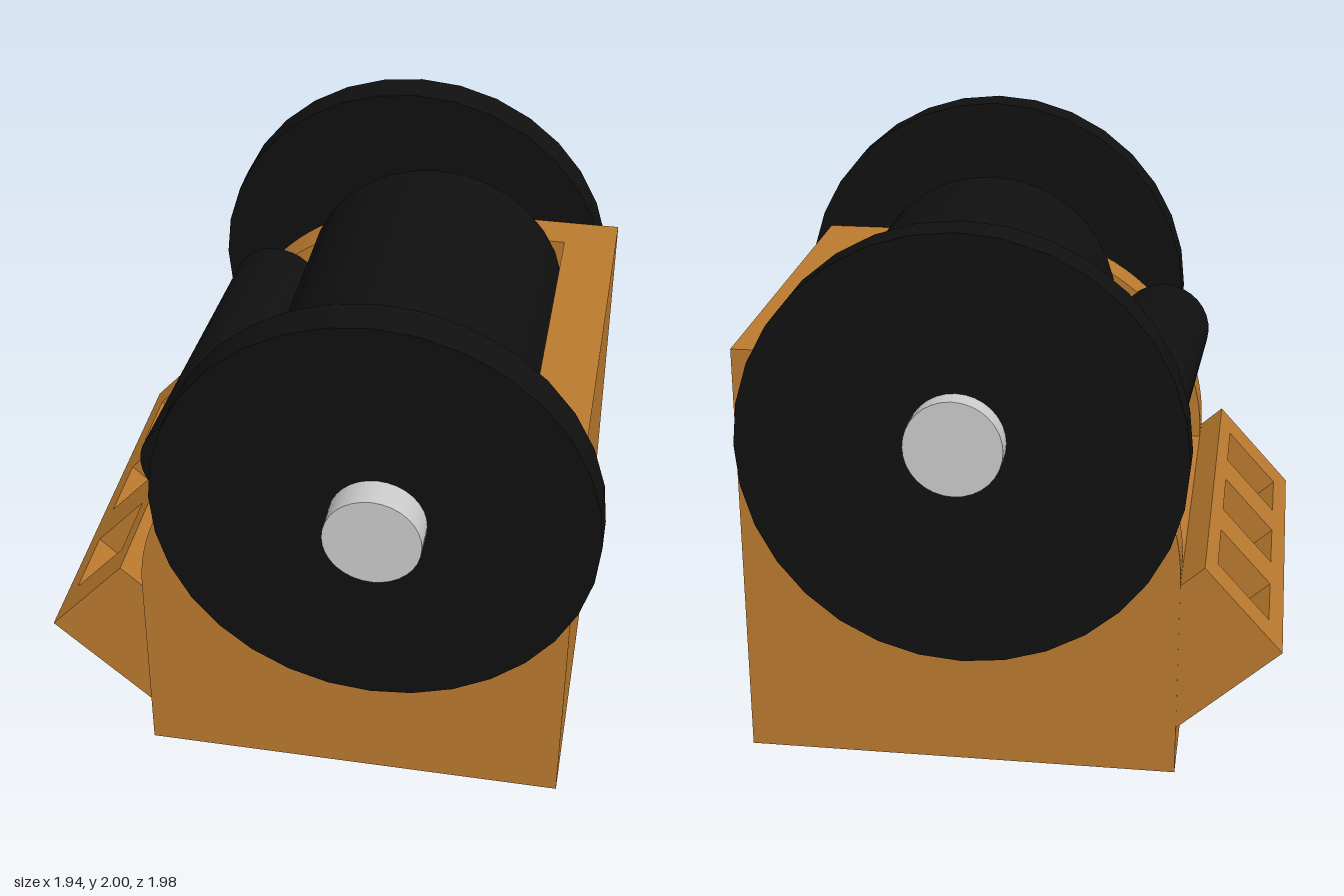
import * as THREE from 'three';

export function createModel() {
  const group = new THREE.Group();
  const paint = new THREE.MeshStandardMaterial({ color: 0xbb7a2f });
  const black = new THREE.MeshStandardMaterial({ color: 0x101010 });
  const grey = new THREE.MeshStandardMaterial({ color: 0xcccccc });

  const add = (name, geometry, material, parent = group) => {
    const mesh = new THREE.Mesh(geometry, material);
    mesh.name = name;
    parent.add(mesh);
    return mesh;
  };
  // Box given by its two extreme corners
  const box = (name, a, b, material, parent) => {
    const size = b.map((v, i) => v - a[i]);
    const mesh = add(name, new THREE.BoxGeometry(...size), material, parent);
    mesh.position.set(...a.map((v, i) => v + size[i] / 2));
    return mesh;
  };
  // Cylinder between two end points
  const rod = (name, a, b, radius, material) => {
    const start = new THREE.Vector3(...a), end = new THREE.Vector3(...b);
    const dir = end.clone().sub(start);
    const mesh = add(name, new THREE.CylinderGeometry(radius, radius, dir.length(), 32), material);
    mesh.position.copy(start).add(end).multiplyScalar(0.5);
    mesh.quaternion.setFromUnitVectors(new THREE.Vector3(0, 1, 0), dir.normalize());
    return mesh;
  };

  // Housing: solid base, rear wall and two side walls with one rounded corner
  const left = -0.62, right = 0.88, top = 1.49, floor = 0.72, back = -0.76, front = 0.73;
  box('base', [left, 0, back], [right, floor, front], paint);
  box('endWall', [0.69, floor, back + 0.15], [right, top, front - 0.15], paint);
  const profile = new THREE.Shape();
  profile.moveTo(left, floor);
  profile.lineTo(right, floor);
  profile.lineTo(right, top);
  profile.lineTo(left + 0.75, top);
  profile.absarc(left + 0.75, top - 0.75, 0.75, Math.PI / 2, Math.PI, false);
  profile.closePath();
  for (const z of [back, front - 0.15]) {
    const geometry = new THREE.ExtrudeGeometry(profile, { depth: 0.15, bevelEnabled: false, curveSegments: 16 });
    add('sideWall', geometry, paint).position.z = z;
  }

  // Slanted console: local x runs along z, local y up the slope, local z outward
  const console_ = new THREE.Group();
  console_.name = 'console';
  const up = new THREE.Vector3(0.27, 0.3, 0).normalize();
  const out = new THREE.Vector3(-up.y, up.x, 0);
  console_.quaternion.setFromRotationMatrix(
    new THREE.Matrix4().makeBasis(new THREE.Vector3(0, 0, 1), up, out));
  console_.position.set(-0.97, 0.49, 0);
  group.add(console_);
  const z0 = -0.757, z1 = 0.717, height = 0.404, pit = 0.15;
  const rect = (path, xa, ya, xb, yb) => {
    path.moveTo(xa, ya);
    path.lineTo(xb, ya);
    path.lineTo(xb, yb);
    path.lineTo(xa, yb);
    path.closePath();
    return path;
  };
  const panel = rect(new THREE.Shape(), z0, 0, z1, height);
  for (const z of [-0.625, -0.17, 0.29]) {
    panel.holes.push(rect(new THREE.Path(), z, 0.075, z + 0.275, 0.344));
  }
  add('panelWithRecesses', new THREE.ExtrudeGeometry(panel, { depth: pit, bevelEnabled: false }),
    paint, console_).position.z = -pit;
  box('consoleBody', [z0, 0, -0.49], [z1, height, -pit], paint, console_);

  // Drum and the slightly skewed roller beside it
  rod('drum', [0.21, 1.265, -0.6], [0.21, 1.265, 0.58], 0.485, black);
  rod('roller', [-0.41, 1.17, -0.61], [-0.465, 1.17, 0.585], 0.175, black);

  // End discs with their axle stubs
  rod('frontDisc', [0.22, 1.255, 0.737], [0.22, 1.255, 0.877], 0.745, black);
  rod('backDisc', [0.097, 1.215, -0.915], [0.097, 1.215, -0.775], 0.745, black);
  rod('frontAxle', [0.24, 1.263, 0.6], [0.24, 1.263, 0.99], 0.163, grey);
  rod('backAxle', [0.105, 1.267, -0.99], [0.105, 1.267, -0.6], 0.163, grey);

  return group;
}
